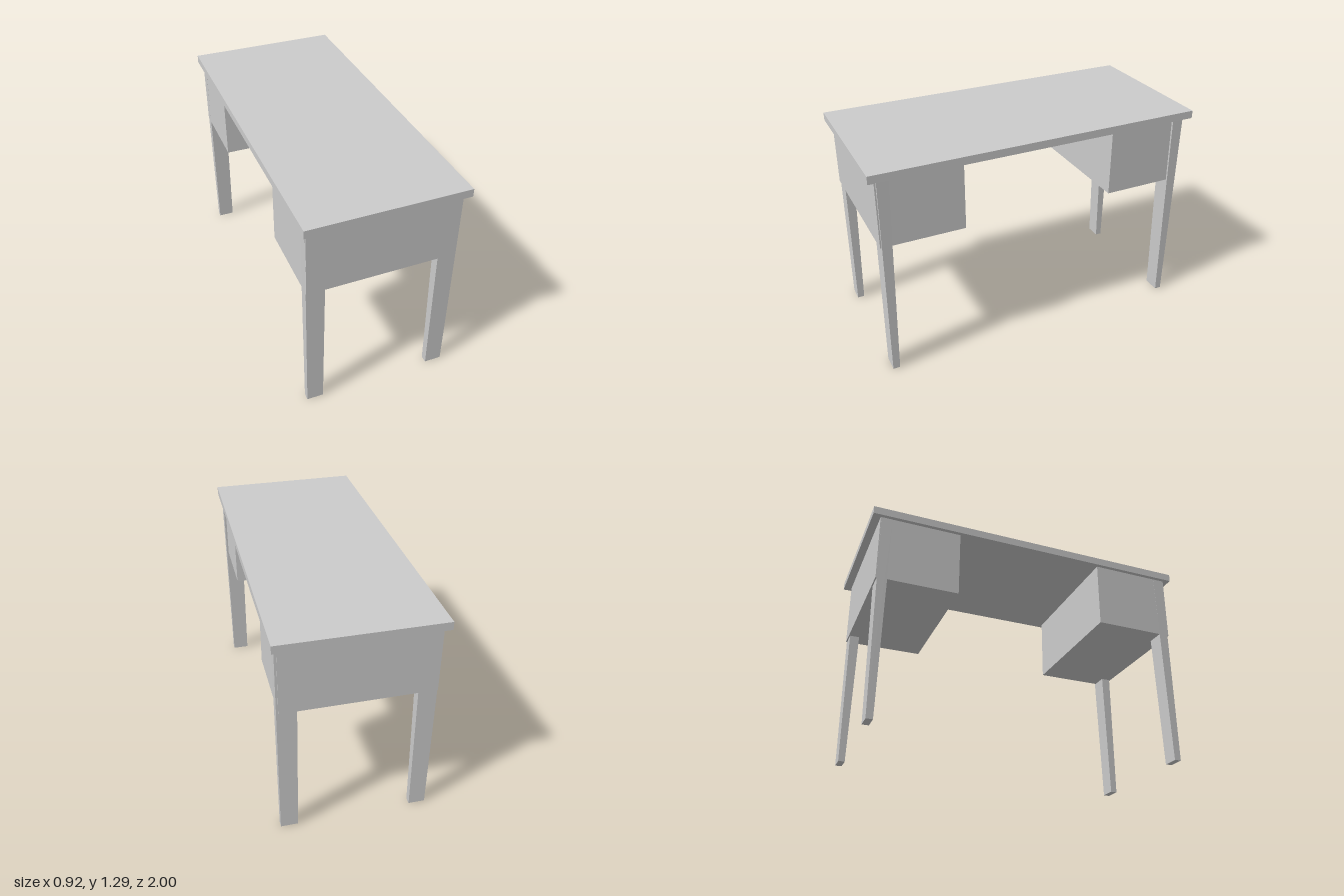
import * as THREE from 'three';

const material = new THREE.MeshStandardMaterial({ color: 0xcccccc, flatShading: true });

// Box given by its min/max extents
function block(name, [x0, x1], [y0, y1], [z0, z1]) {
  const geo = new THREE.BoxGeometry(x1 - x0, y1 - y0, z1 - z0);
  geo.translate((x0 + x1) / 2, (y0 + y1) / 2, (z0 + z1) / 2);
  const mesh = new THREE.Mesh(geo, material);
  mesh.name = name;
  return mesh;
}

// Leg whose section narrows from top to foot; each section is [xMin, xMax, zMin, zMax]
function taperedLeg(name, height, top, foot) {
  const geo = new THREE.BoxGeometry(1, height, 1);
  geo.translate(0, height / 2, 0);
  const p = geo.attributes.position;
  for (let i = 0; i < p.count; i++) {
    const s = p.getY(i) > height / 2 ? top : foot;
    p.setX(i, p.getX(i) < 0 ? s[0] : s[1]);
    p.setZ(i, p.getZ(i) < 0 ? s[2] : s[3]);
  }
  geo.computeVertexNormals();
  const mesh = new THREE.Mesh(geo, material);
  mesh.name = name;
  return mesh;
}

export function createModel() {
  const desk = new THREE.Group();
  desk.name = 'desk';
  const under = 1.245;

  // Desk top
  desk.add(block('deskTop', [-0.46, 0.46], [under, 1.292], [-1, 1]));

  // Drawer boxes hung under both ends
  desk.add(block('frontDrawerBox', [-0.436, 0.427], [0.838, under], [0.465, 0.96]));
  desk.add(block('backDrawerBox', [-0.436, 0.427], [0.838, under], [-0.953, -0.465]));

  // Legs: the inner faces taper, the outer faces stay nearly upright
  const xRanges = {
    Left: { top: [0.325, 0.44], foot: [0.333, 0.434] },
    Right: { top: [-0.437, -0.325], foot: [-0.434, -0.337] },
  };
  const zRanges = {
    front: { top: [0.885, 0.951], foot: [0.915, 0.956] },
    back: { top: [-0.948, -0.88], foot: [-0.941, -0.902] },
  };
  for (const [end, z] of Object.entries(zRanges)) {
    for (const [side, x] of Object.entries(xRanges)) {
      desk.add(taperedLeg(`${end}${side}Leg`, under, [...x.top, ...z.top], [...x.foot, ...z.foot]));
    }
  }
  return desk;
}
